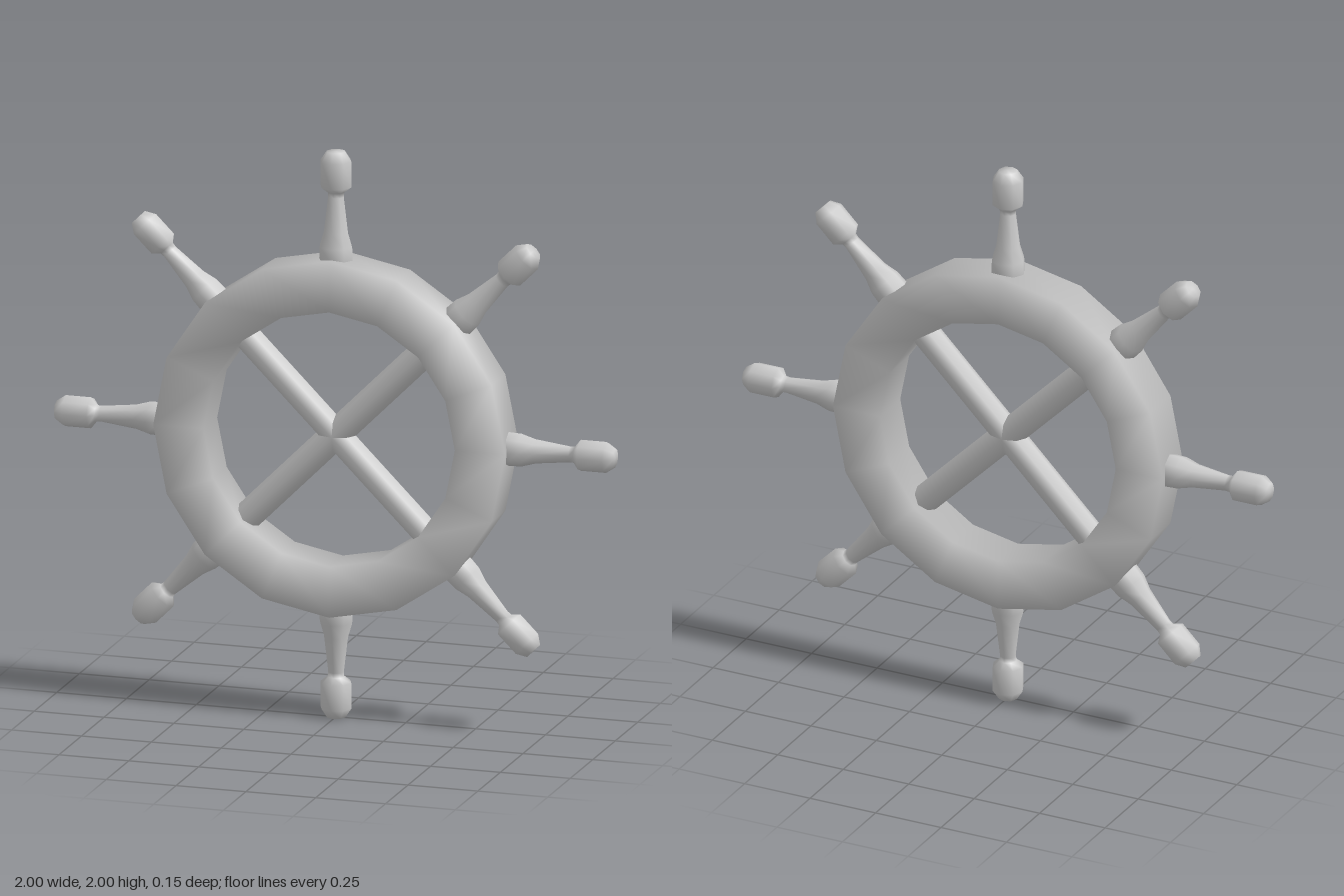
import * as THREE from 'three';
import { mergeVertices } from 'three/addons/utils/BufferGeometryUtils.js';

const material = new THREE.MeshStandardMaterial({ color: 0xcccccc });

// Turned shape from [radius, height] pairs, with normals smoothed all round
function turned(points, sides) {
  const raw = new THREE.LatheGeometry(points.map(([r, y]) => new THREE.Vector2(r, y)), sides);
  raw.deleteAttribute('uv');
  raw.deleteAttribute('normal');
  const geometry = mergeVertices(raw, 1e-4);
  geometry.computeVertexNormals();
  return geometry;
}

function addMesh(parent, name, geometry) {
  const mesh = new THREE.Mesh(geometry, material);
  mesh.name = name;
  parent.add(mesh);
  return mesh;
}

export function createModel() {
  const wheel = new THREE.Group();
  wheel.name = 'steeringWheel';

  // Sixteen-sided rim with a four-cornered section
  const rim = addMesh(wheel, 'rim', turned(
    [[0.45, -0.076], [0.63, -0.076], [0.63, 0.076], [0.45, 0.076], [0.45, -0.076]], 16));
  rim.rotation.x = Math.PI / 2;
  rim.position.y = 1;

  // Two crossed spokes
  const spokeGeometry = new THREE.CylinderGeometry(0.05, 0.05, 1.08, 8);
  for (const side of [-1, 1]) {
    const spoke = addMesh(wheel, 'spoke', spokeGeometry);
    spoke.position.y = 1;
    spoke.rotation.z = side * Math.PI / 4;
  }

  // Eight turned handles around the rim
  const handleGeometry = turned([
    [0, 0.56], [0.05, 0.56], [0.06, 0.62], [0.058, 0.665], [0.043, 0.715],
    [0.028, 0.84], [0.03, 0.857], [0.055, 0.877], [0.055, 0.967], [0.033, 1], [0, 1],
  ], 8);
  for (let i = 0; i < 8; i++) {
    const handle = addMesh(wheel, 'handle', handleGeometry);
    handle.position.y = 1;
    handle.rotation.z = i * Math.PI / 4;
  }
  return wheel;
}
